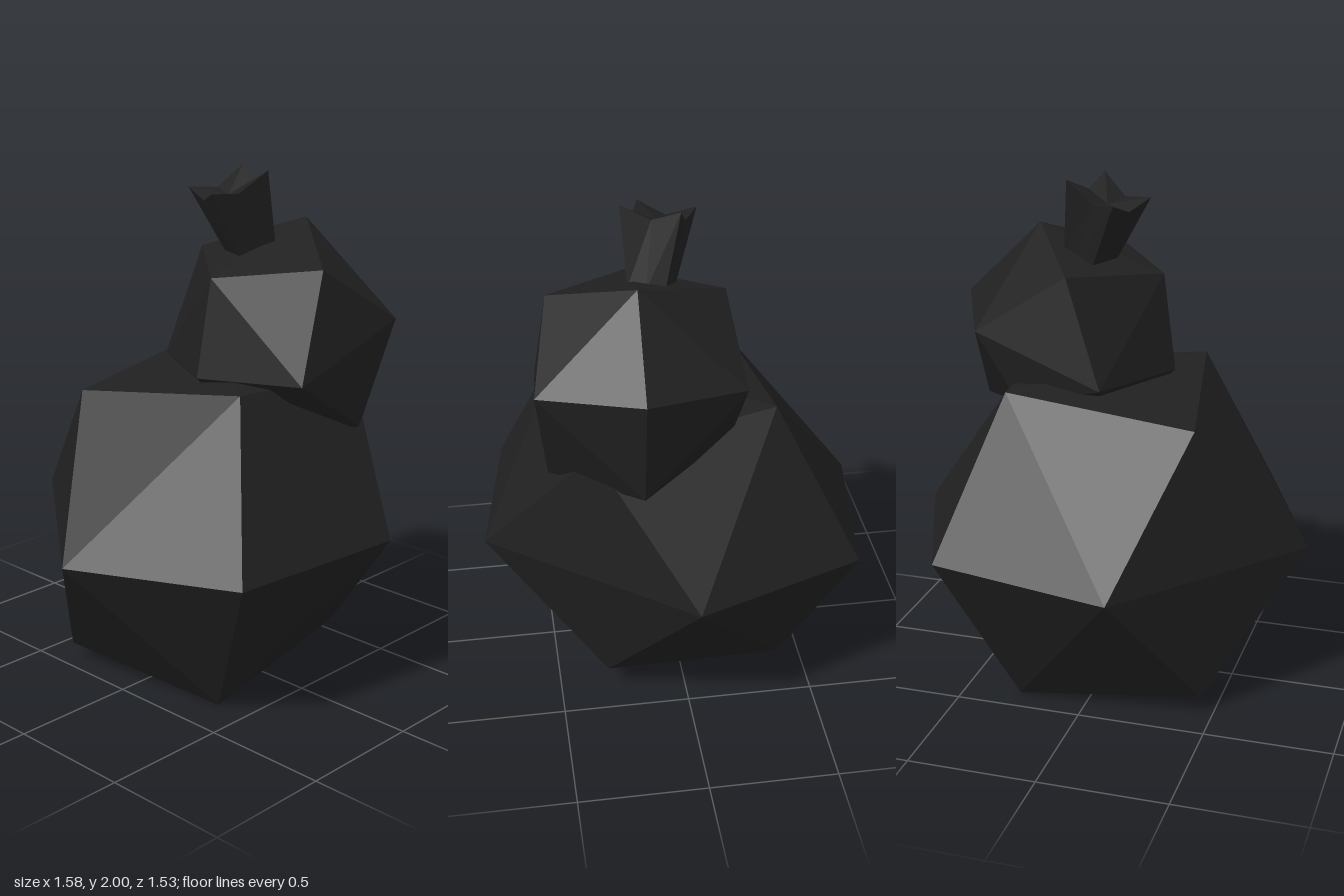
import * as THREE from 'three';
import { ConvexGeometry } from 'three/addons/geometries/ConvexGeometry.js';

const material = new THREE.MeshStandardMaterial({ color: 0x202020, flatShading: true });

// Faceted lump: convex solid spanned by its 14 corners
function lump(name, corners) {
  const mesh = new THREE.Mesh(new ConvexGeometry(corners.map(c => new THREE.Vector3(...c))), material);
  mesh.name = name;
  return mesh;
}

// Flared four-pointed crown, leaning slightly to one side
function crownGeometry() {
  const ring = (cx, cy, cz, tipR, valleyR, drop) => Array.from({ length: 8 }, (_, i) => {
    const a = THREE.MathUtils.degToRad(68 + i * 45);
    const valley = i % 2;
    const r = valley ? valleyR : tipR;
    const dx = Math.cos(a) * r, dz = Math.sin(a) * r;
    return [cx + dx, cy + 0.3 * dx + 0.14 * dz - (valley ? drop : 0), cz + dz];
  });
  const rim = ring(0.04, 1.96, 0.05, 0.162, 0.1, 0.045);
  const base = ring(0.13, 1.68, 0.09, 0.1, 0.071, 0);
  const centre = [0.045, 1.9, 0.05];
  const foot = [0.13, 1.68, 0.09];
  const pos = [];
  for (let i = 0; i < 8; i++) {
    const j = (i + 1) % 8;
    pos.push(...rim[i], ...rim[j], ...base[j], ...rim[i], ...base[j], ...base[i]); // wall
    pos.push(...centre, ...rim[j], ...rim[i]); // star-shaped hollow
    pos.push(...foot, ...base[i], ...base[j]); // underside
  }
  const g = new THREE.BufferGeometry();
  g.setAttribute('position', new THREE.Float32BufferAttribute(pos, 3));
  g.computeVertexNormals();
  return g;
}

export function createModel() {
  const group = new THREE.Group();
  group.name = 'facetedFigure';

  group.add(lump('body', [
    // middle ring
    [-0.79, 0.6, 0], [-0.19, 0.61, -0.765], [0.52, 0.64, -0.66],
    [0.785, 0.65, 0], [0.19, 0.645, 0.765], [-0.52, 0.62, 0.66],
    // top four
    [-0.4, 1.145, -0.31], [0.325, 1.245, -0.355], [0.45, 1.17, 0.35], [-0.27, 1.24, 0.41],
    // bottom four
    [0.39, 0.105, 0.31], [0.27, 0.01, -0.41], [-0.33, 0, 0.36], [-0.45, 0.07, -0.35],
  ]));

  group.add(lump('head', [
    // crest and upper ring
    [0.36, 1.79, 0.17], [0.1, 1.66, 0.48], [0.14, 1.66, -0.185], [-0.155, 1.62, 0.15],
    [0.67, 1.49, 0.18], [0.45, 1.43, 0.555], [0.5, 1.43, -0.21],
    // lower ring and underside
    [-0.06, 1.25, 0.525], [-0.01, 1.24, -0.24], [-0.21, 1.24, 0.13],
    [0.3, 1.02, 0.51], [0.6, 1.06, 0.18], [0.34, 1.15, -0.18], [0.1, 0.93, 0.17],
  ]));

  const crown = new THREE.Mesh(crownGeometry(), material);
  crown.name = 'crown';
  group.add(crown);
  return group;
}
